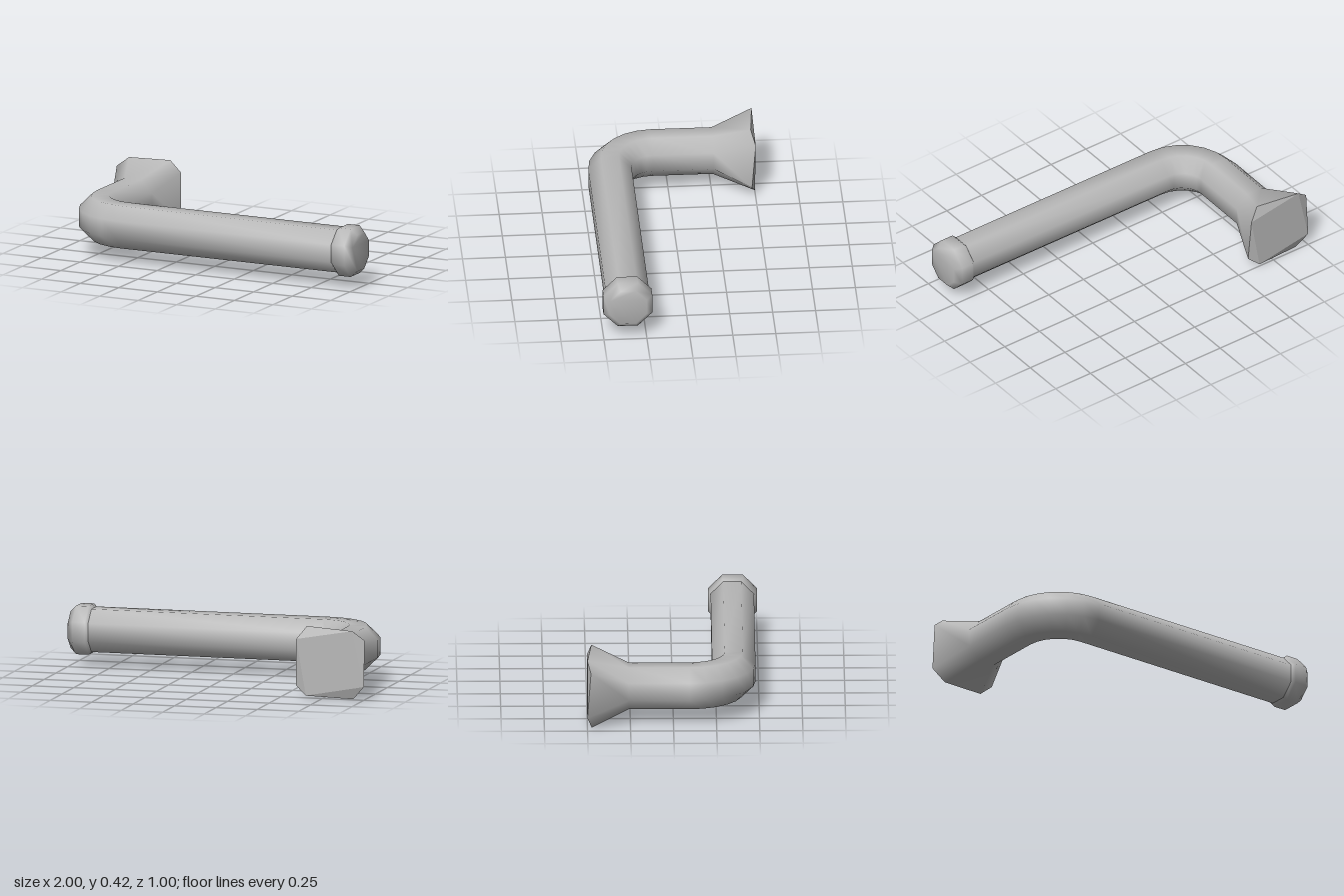
import * as THREE from 'three';

const SIDES = 8;
const MID_Y = 0.212;

// Octagon ring: centre (x, z), turn t of the sweep (0 = along +z, 90 deg = along +x), half width
function ring(x, z, t, half) {
  const r = half / Math.cos(Math.PI / SIDES);
  return Array.from({ length: SIDES }, (_, k) => {
    const a = (k + 0.5) * 2 * Math.PI / SIDES;
    const out = r * Math.cos(a);
    return [x - out * Math.cos(t), MID_Y + r * Math.sin(a), z + out * Math.sin(t)];
  });
}

// Smooth skin over a list of rings, optionally closed at the far end
function loft(rings, closeEnd) {
  const index = [];
  for (let i = 0; i < rings.length - 1; i++) {
    for (let k = 0; k < SIDES; k++) {
      const n = (k + 1) % SIDES;
      const a = i * SIDES + k, b = i * SIDES + n;
      const c = a + SIDES, d = b + SIDES;
      index.push(a, c, b, b, c, d);
    }
  }
  if (closeEnd) {
    const s = (rings.length - 1) * SIDES;
    for (let k = 1; k < SIDES - 1; k++) index.push(s, s + k + 1, s + k);
  }
  return build(rings.flat(), index);
}

function build(points, index) {
  const g = new THREE.BufferGeometry();
  g.setAttribute('position', new THREE.Float32BufferAttribute(points.flat(), 3));
  g.setIndex(index);
  g.computeVertexNormals();
  return g;
}

export function createModel() {
  const model = new THREE.Group();
  const metal = new THREE.MeshStandardMaterial({ color: 0xb8b8b8 });
  metal.name = 'grey metal';
  const add = (name, geometry) => {
    const mesh = new THREE.Mesh(geometry, metal);
    mesh.name = name;
    model.add(mesh);
  };

  // Slightly skewed wall flange outline
  const flange = [
    [-1, 0.35, -0.48], [-0.93, 0.405, -0.5], [-0.65, 0.42, -0.475], [-0.592, 0.345, -0.5],
    [-0.584, 0.07, -0.478], [-0.65, 0.015, -0.5], [-0.93, 0.002, -0.475], [-1, 0.08, -0.5],
  ];

  // Arm: flare, short leg, quarter bend, long bar
  const rings = [flange, ring(-0.788, -0.26, 0, 0.126)];
  const bendX = -0.53, bendZ = 0.093, bendR = 0.26, steps = 6;
  for (let i = 0; i <= steps; i++) {
    const t = (i / steps) * Math.PI / 2;
    rings.push(ring(bendX - bendR * Math.cos(t), bendZ + bendR * Math.sin(t), t, 0.126));
  }
  rings.push(ring(0.9, 0.356, Math.PI / 2, 0.126));
  add('arm', loft(rings, false));

  // Back of the flange: flat centre with four bevelled corners
  const back = build(flange, [1, 3, 5, 1, 5, 7, 7, 0, 1, 1, 2, 3, 3, 4, 5, 5, 6, 7]).toNonIndexed();
  back.computeVertexNormals();
  add('flangeBack', back);

  // Rounded knob at the free end
  const knob = [[0.868, 0.124], [0.887, 0.142], [0.963, 0.142], [1, 0.108]]
    .map(([x, half]) => ring(x, 0.358, Math.PI / 2, half));
  add('endKnob', loft(knob, true));

  return model;
}
